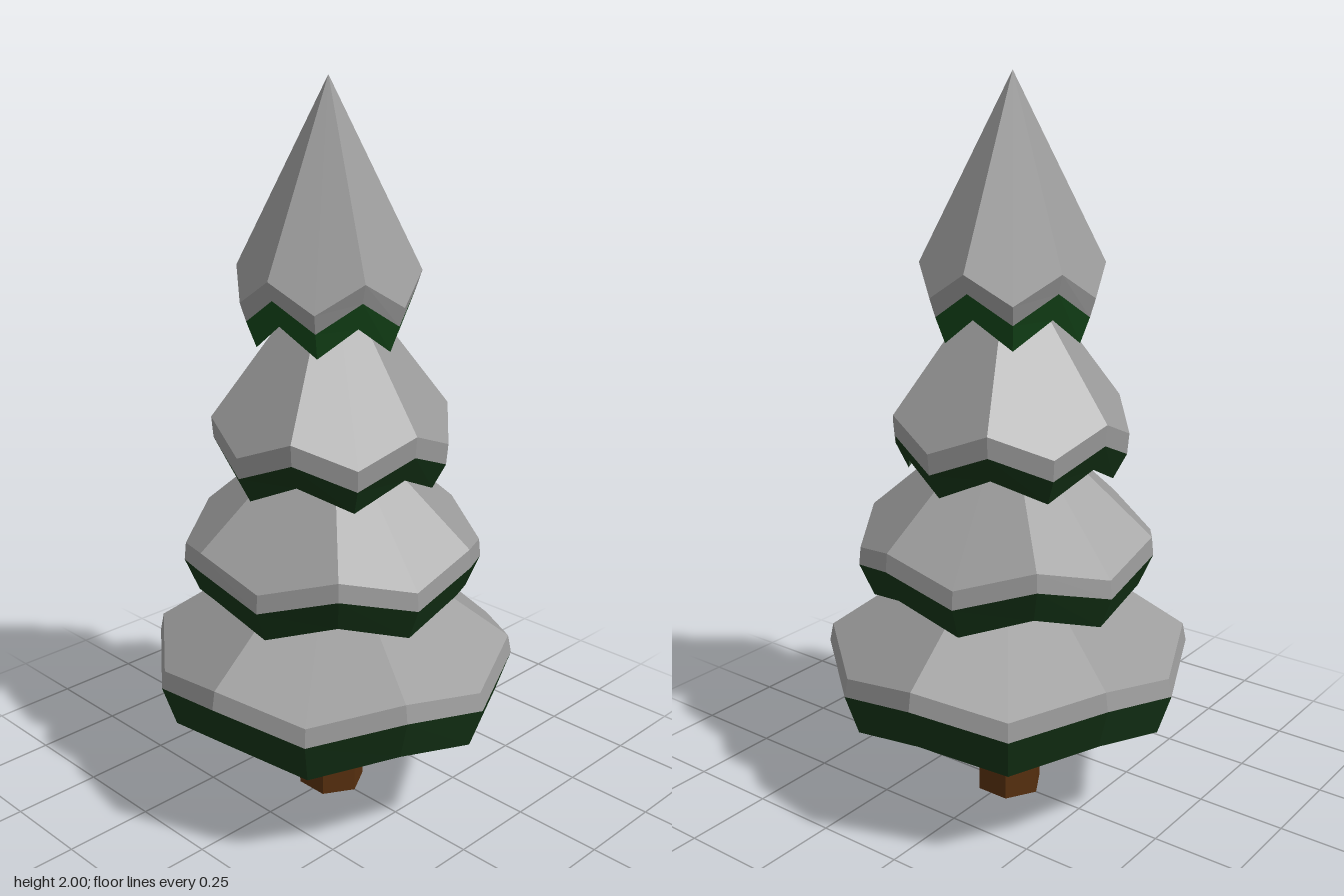
import * as THREE from 'three';

const leafy = (color) => new THREE.MeshStandardMaterial({ color, flatShading: true, side: THREE.DoubleSide });
const snow = leafy(0x9b9b9b);
const darkNeedles = leafy(0x143316);
const brightNeedles = leafy(0x15481a);
const bark = new THREE.MeshStandardMaterial({ color: 0x562f0e, flatShading: true });

const SIDES = 12;

// Twelve points whose heights alternate: even corners high, odd corners low
function zigzagRing(radius, high, low, turn) {
  return Array.from({ length: SIDES }, (_, i) => {
    const a = THREE.MathUtils.degToRad(turn + i * 30);
    return new THREE.Vector3(radius * Math.cos(a), i % 2 ? low : high, radius * Math.sin(a));
  });
}

// Band of quads between an upper and a lower ring
function band(upper, lower) {
  const points = [];
  for (let i = 0; i < SIDES; i++) {
    const j = (i + 1) % SIDES;
    points.push(upper[i], upper[j], lower[i], upper[j], lower[j], lower[i]);
  }
  return points;
}

// Fan of triangles from the tip down to a ring
function fan(tip, ring) {
  return ring.flatMap((p, i) => [tip, ring[(i + 1) % SIDES], p]);
}

function facetedMesh(name, points, material) {
  const geometry = new THREE.BufferGeometry().setFromPoints(points);
  geometry.computeVertexNormals();
  const mesh = new THREE.Mesh(geometry, material);
  mesh.name = name;
  return mesh;
}

// One tier: six-sided snow roof trimmed round, snow lip, and a skirt of needles, open below
function branchTier({ name, needles, tip, turn, x, z, rim, lip, hem }) {
  const drop = (tip - rim[1]) * (1 / Math.cos(Math.PI / 6) - 1); // keeps each roof side flat
  const [rimRing, lipRing, hemRing] = [rim, lip, hem].map(([r, y]) => zigzagRing(r, y, y - drop, turn));
  const tier = new THREE.Group();
  tier.name = name;
  tier.position.set(x, 0, z);
  tier.add(
    facetedMesh('snowCap', [...fan(new THREE.Vector3(0, tip, 0), rimRing), ...band(rimRing, lipRing)], snow),
    facetedMesh('needleSkirt', band(lipRing, hemRing), needles),
  );
  return tier;
}

export function createModel() {
  const tree = new THREE.Group();
  tree.name = 'snowyPine';

  // Hexagonal trunk ending inside the bottom tier
  const trunk = new THREE.Mesh(new THREE.CylinderGeometry(0.095, 0.095, 0.7, 6), bark);
  trunk.name = 'trunk';
  trunk.rotation.y = Math.PI / 6;
  trunk.position.set(-0.006, 0.35, 0);
  tree.add(trunk);

  // Ring values are [radius, height of the high corners]
  const tiers = [
    { name: 'bottomTier', needles: darkNeedles, tip: 0.83, turn: 23, x: 0, z: 0, rim: [0.492, 0.5], lip: [0.502, 0.45], hem: [0.464, 0.335] },
    { name: 'lowerMiddleTier', needles: darkNeedles, tip: 1.16, turn: 43, x: 0, z: 0, rim: [0.406, 0.81], lip: [0.411, 0.76], hem: [0.372, 0.67] },
    { name: 'upperMiddleTier', needles: darkNeedles, tip: 1.56, turn: 3, x: -0.003, z: 0.003, rim: [0.323, 1.137], lip: [0.318, 1.08], hem: [0.282, 1.01] },
    { name: 'topTier', needles: brightNeedles, tip: 2, turn: 23, x: -0.01, z: 0.006, rim: [0.243, 1.52], lip: [0.227, 1.47], hem: [0.2, 1.4] },
  ];
  for (const tier of tiers) tree.add(branchTier(tier));

  return tree;
}
